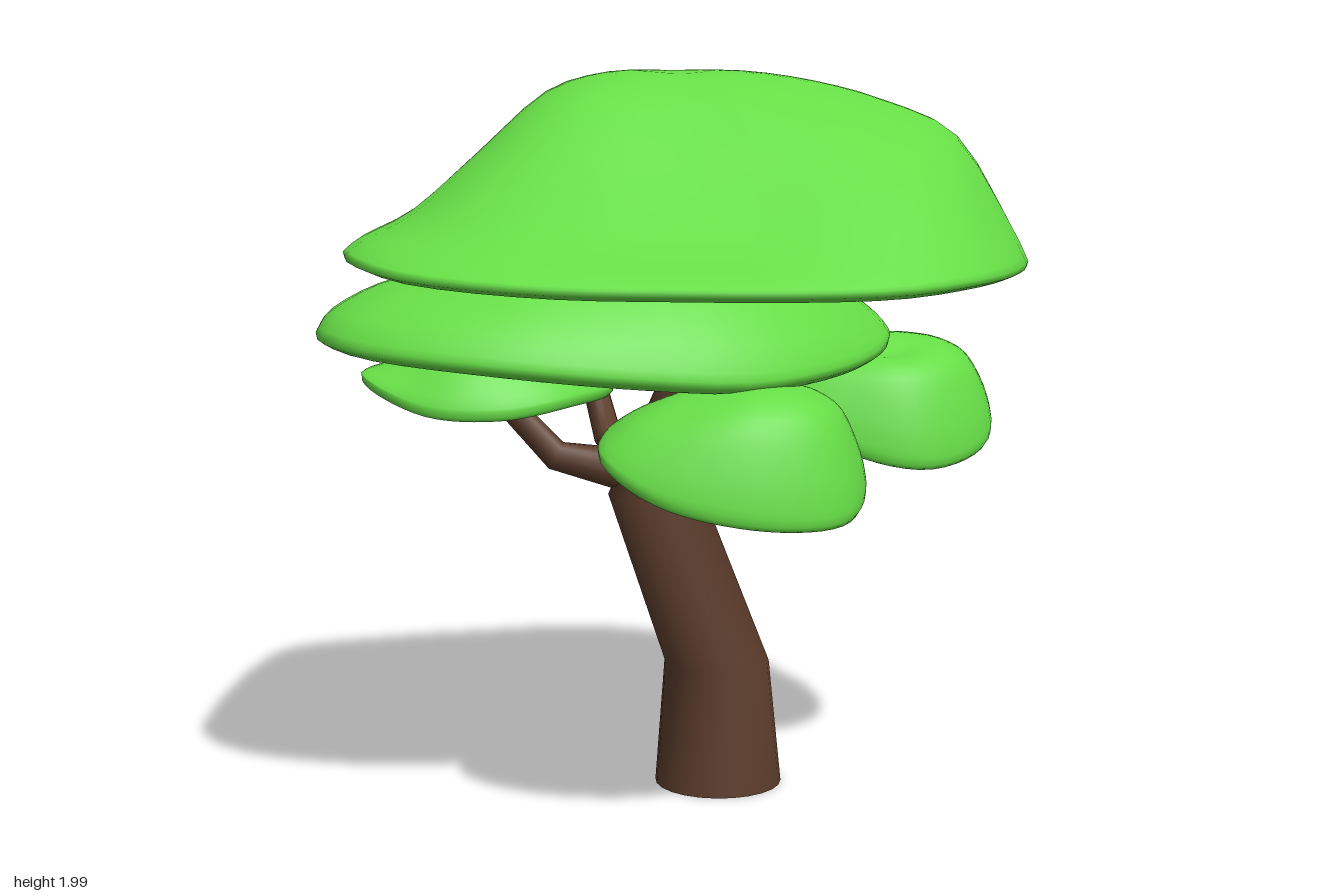
import * as THREE from 'three';
import { mergeVertices } from 'three/addons/utils/BufferGeometryUtils.js';

const bark = new THREE.MeshStandardMaterial({ color: 0x5c3d2c });
const leaf = new THREE.MeshStandardMaterial({ color: 0x66dd46 });

// Skin a list of closed rings (arrays of Vector3)
function skin(rings) {
  const n = rings[0].length, pos = [], idx = [];
  rings.forEach(r => r.forEach(p => pos.push(p.x, p.y, p.z)));
  for (let i = 0; i < rings.length - 1; i++) {
    for (let j = 0; j < n; j++) {
      const a = i * n + j, b = i * n + (j + 1) % n, c = a + n, d = b + n;
      idx.push(a, c, b, b, c, d);
    }
  }
  const g = new THREE.BufferGeometry();
  g.setAttribute('position', new THREE.Float32BufferAttribute(pos, 3));
  g.setIndex(idx);
  return g;
}

// Tapered, bent limb with flat end caps; nodes are [x, y, z, radius]
function limb(name, nodes, sides, level = false) {
  const pts = nodes.map(q => new THREE.Vector3(q[0], q[1], q[2]));
  const last = pts.length - 1, up = new THREE.Vector3(0, 1, 0);
  const ring = (i, r) => {
    const dir = new THREE.Vector3();
    if (i > 0) dir.add(pts[i].clone().sub(pts[i - 1]).normalize());
    if (i < last) dir.add(pts[i + 1].clone().sub(pts[i]).normalize());
    const q = new THREE.Quaternion().setFromUnitVectors(up, level ? up : dir.normalize());
    return Array.from({ length: sides }, (_, j) => {
      const a = j / sides * Math.PI * 2;
      return new THREE.Vector3(Math.cos(a) * r, 0, Math.sin(a) * r).applyQuaternion(q).add(pts[i]);
    });
  };
  const rings = nodes.map((q, i) => ring(i, q[3]));
  const g = skin([ring(0, 0), ring(0, nodes[0][3]), ...rings, ring(last, nodes[last][3]), ring(last, 0)]);
  g.computeVertexNormals();
  const m = new THREE.Mesh(g, bark);
  m.name = name;
  return m;
}

// Hollow foliage cap with a rounded lip: apex, lower rim loop,
// and height profiles toward +x, +z, -x, -z
const T = [0, 0.2, 0.4, 0.6, 0.8, 0.95, 1];
const ROUND = [1, 0.97, 0.88, 0.73, 0.48, 0.17, 0];
const FLARE = [1, 0.95, 0.76, 0.48, 0.24, 0.09, 0];
const FULL = [1, 0.99, 0.95, 0.86, 0.66, 0.26, 0];
function cap(name, apex, rim, profiles, hollow, lip) {
  const A = new THREE.Vector3(...apex), N = 56, M = 18;
  const loop = new THREE.CatmullRomCurve3(rim.map(p => new THREE.Vector3(...p)), true);
  const edge = loop.getSpacedPoints(N).slice(0, N);
  const meanY = edge.reduce((s, e) => s + e.y, 0) / N;
  const curves = profiles.map(p => new THREE.SplineCurve(p.map((h, i) => new THREE.Vector2(T[i], h))));
  const ring = (s, depth, lift, scale) => edge.map(e => {
    const u = (Math.atan2(e.z - A.z, e.x - A.x) / (Math.PI / 2) + 4) % 4;
    const k = Math.floor(u), f = THREE.MathUtils.smoothstep(u - k, 0, 1);
    const c = curves[k % 4].getPoint(s).lerp(curves[(k + 1) % 4].getPoint(s), f);
    const p = A.clone().lerp(e, c.x * scale);
    const base = THREE.MathUtils.lerp(meanY, e.y, c.x) + lift;
    p.y = base + (A.y - base) * c.y * depth;
    return p;
  });
  const rings = [];
  for (let i = 0; i <= M; i++) rings.push(ring(i / M, 1, lip, 1));
  rings.push(ring(1, 1, lip * 0.4, 0.995));
  for (let i = M; i >= 0; i--) rings.push(ring(i / M, hollow, 0, 0.97));
  const g = mergeVertices(skin(rings), 1e-5);
  g.computeVertexNormals();
  const m = new THREE.Mesh(g, leaf);
  m.name = name;
  return m;
}

export function createModel() {
  const tree = new THREE.Group();
  tree.name = 'tree';

  // Trunk and branches
  tree.add(
    limb('trunk', [[0.13, 0.01, -0.01, 0.178], [0.125, 0.36, -0.01, 0.147],
      [-0.05, 0.84, -0.01, 0.132], [0.13, 1.33, -0.02, 0.085]], 24, true),
    limb('leftBranch', [[0, 0.95, -0.02, 0.07], [0.3, 0.925, -0.01, 0.045],
      [0.46, 1.03, -0.01, 0.035], [0.56, 1.16, -0.03, 0.03]], 12),
    limb('rightBranch', [[-0.04, 0.89, -0.01, 0.07], [-0.32, 0.95, -0.06, 0.042],
      [-0.5, 1.15, -0.13, 0.032]], 12),
    limb('frontBranch', [[-0.04, 0.91, 0, 0.07], [-0.02, 0.96, 0.27, 0.048],
      [0, 0.995, 0.48, 0.035], [0.04, 1.09, 0.53, 0.03]], 12),
    limb('backBranch', [[-0.03, 0.91, -0.05, 0.06], [-0.13, 0.965, -0.3, 0.042],
      [-0.17, 1.14, -0.33, 0.035], [-0.25, 1.3, -0.43, 0.03]], 12));

  // Two broad canopies
  tree.add(
    cap('upperCanopy', [0.0, 2.0, -0.05], [
      [-0.91, 1.505, 0.33], [-0.8, 1.475, 0.62], [-0.5, 1.45, 0.795], [-0.15, 1.44, 0.845],
      [0.13, 1.435, 0.855], [0.38, 1.435, 0.82], [0.6, 1.445, 0.7], [0.82, 1.455, 0.45],
      [0.98, 1.465, 0.06], [0.9, 1.485, -0.25], [0.65, 1.505, -0.6], [0.28, 1.515, -0.685],
      [-0.3, 1.525, -0.66], [-0.62, 1.525, -0.58], [-0.76, 1.52, -0.32], [-0.87, 1.515, 0.05]],
    [[1, 1, 0.95, 0.85, 0.67, 0.2, 0], [1, 0.94, 0.7, 0.42, 0.18, 0.05, 0],
      [1, 0.99, 0.88, 0.56, 0.23, 0.08, 0], [1, 0.96, 0.82, 0.62, 0.36, 0.11, 0]], 0.55, 0.025),
    cap('lowerCanopy', [-0.15, 1.56, -0.1], [
      [-0.98, 1.3, 0.22], [-0.89, 1.28, 0.44], [-0.6, 1.25, 0.61], [-0.25, 1.215, 0.66],
      [0.05, 1.195, 0.64], [0.3, 1.21, 0.52], [0.52, 1.235, 0.25], [0.63, 1.265, -0.1],
      [0.55, 1.275, -0.45], [0.3, 1.265, -0.7], [0.12, 1.255, -0.81], [-0.22, 1.245, -0.86],
      [-0.48, 1.25, -0.815], [-0.68, 1.27, -0.63], [-0.82, 1.29, -0.3]],
    [ROUND, FULL, [1, 0.93, 0.8, 0.66, 0.5, 0.24, 0], ROUND], 0.5, 0.03));

  // Three small tilted leaf clumps
  tree.add(
    cap('frontClump', [0.07, 1.215, 0.54], [
      [-0.32, 1.02, 0.6], [-0.2, 0.935, 0.73], [0.06, 0.88, 0.8], [0.28, 0.88, 0.74],
      [0.39, 0.96, 0.46], [0.3, 1.03, 0.31], [0.04, 1.07, 0.265], [-0.2, 1.08, 0.36]],
    [FULL, FULL, ROUND, ROUND], 0.6, 0.03),
    cap('rightClump', [-0.58, 1.3, -0.07], [
      [-0.85, 1.165, -0.02], [-0.7, 1.095, 0.15], [-0.5, 1.085, 0.2], [-0.3, 1.11, 0.14],
      [-0.16, 1.12, -0.05], [-0.26, 1.14, -0.25], [-0.5, 1.16, -0.34], [-0.74, 1.17, -0.23]],
    [ROUND, ROUND, FLARE, ROUND], 0.6, 0.025),
    cap('leftClump', [0.57, 1.28, 0.02], [
      [0.28, 1.07, 0.14], [0.44, 0.97, 0.25], [0.64, 0.93, 0.29], [0.84, 0.97, 0.19],
      [0.92, 1.07, -0.06], [0.86, 1.17, -0.27], [0.6, 1.22, -0.37], [0.32, 1.21, -0.32],
      [0.23, 1.17, -0.08]],
    [FULL, [1, 0.92, 0.77, 0.76, 0.62, 0.25, 0], ROUND, ROUND], 0.6, 0.03));

  return tree;
}
